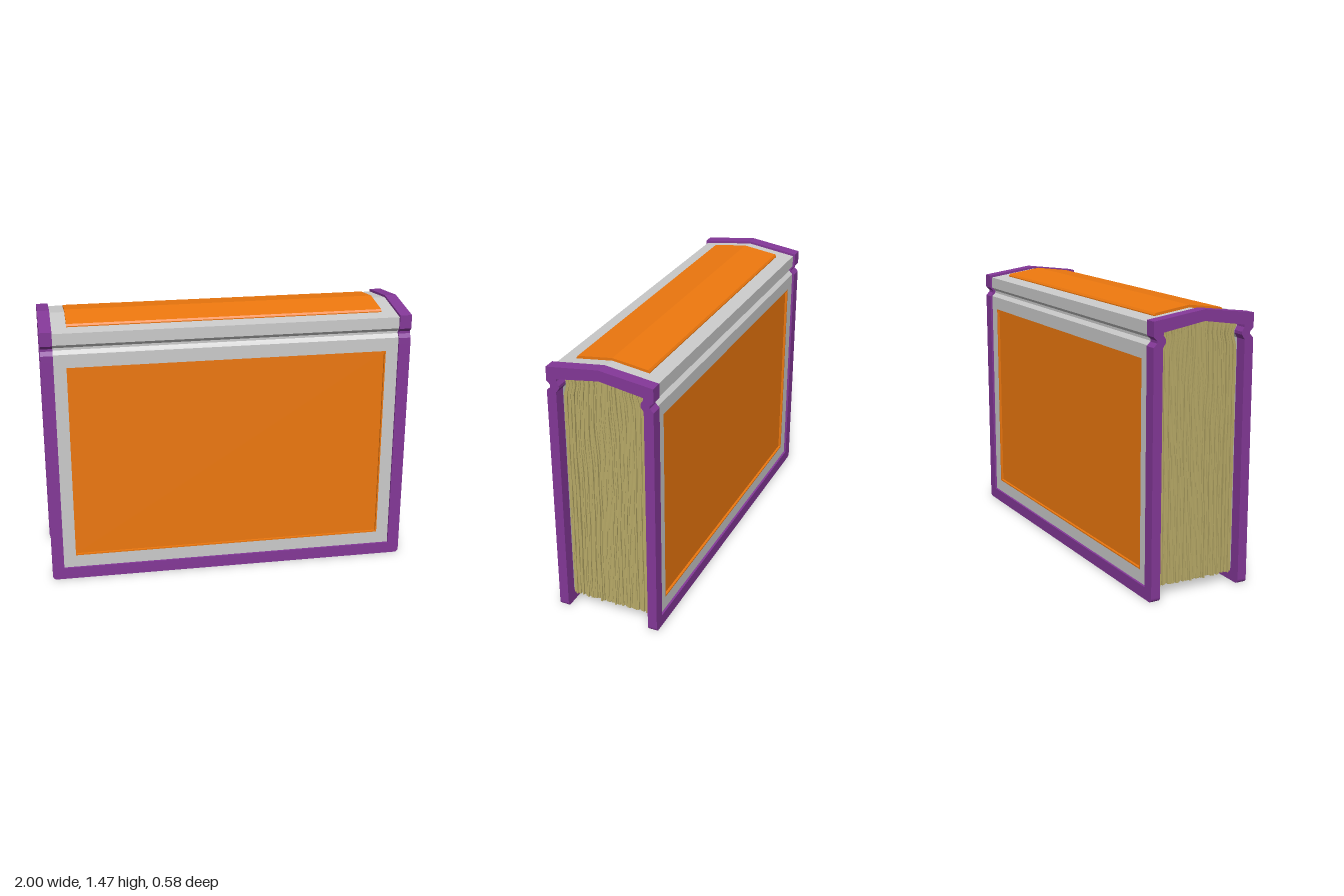
import * as THREE from 'three';
import { mergeGeometries } from 'three/addons/utils/BufferGeometryUtils.js';

const mat = (color) => new THREE.MeshStandardMaterial({ color });
const SPLIT = 1.27; // height where the flat boards meet the spine section

// Cross-section in (z, y), mirrored about z = 0, extruded along x
function extrudeAlongX(points, length, x = 0) {
  const geo = new THREE.ExtrudeGeometry(new THREE.Shape(points), { depth: length, bevelEnabled: false });
  return geo.translate(0, 0, -length / 2).rotateY(Math.PI / 2).translate(x, 0, 0);
}

// Closed arch-shaped outline of the spine and its hinge grooves
function spineOutline(inset) {
  const half = [
    [0.29 - inset, SPLIT], [0.29 - inset, 1.305], [0.27 - inset, 1.325],
    [0.27 - inset, 1.338], [0.29 - inset, 1.357], [0.29 - inset, 1.432 - inset],
  ];
  const inner = [[0.235, 1.375], [0.235, 1.362], [0.221, 1.34], [0.221, 1.325], [0.238, 1.3], [0.238, SPLIT]];
  const pts = [
    ...half, [0, 1.47 - inset], ...half.slice().reverse().map(([z, y]) => [-z, y]),
    ...inner.slice().reverse().map(([z, y]) => [-z, y]), [0, 1.412], ...inner,
  ];
  return pts.map(([z, y]) => new THREE.Vector2(z, y));
}

function rectangle(Type, w, y0, y1) {
  return new Type([[-w, y0], [w, y0], [w, y1], [-w, y1]].map(([x, y]) => new THREE.Vector2(x, y)));
}

function slab(shape, z0, z1) {
  return new THREE.ExtrudeGeometry(shape, { depth: z1 - z0, bevelEnabled: false }).translate(0, 0, z0);
}

export function createModel() {
  const model = new THREE.Group();
  const purple = mat(0x843898), grey = mat(0xcccccc), orange = mat(0xee780e), paper = mat(0xb9ab68);
  const add = (parent, name, geo, material) => {
    const mesh = new THREE.Mesh(geo, material);
    mesh.name = name;
    parent.add(mesh);
    return mesh;
  };

  // Boards: purple U-shaped border, grey frame, sunken orange panel
  const border = new THREE.Shape();
  const r = 0.025;
  border.moveTo(-1, SPLIT);
  border.lineTo(-1, r);
  border.quadraticCurveTo(-1, 0, -1 + r, 0);
  border.lineTo(1 - r, 0);
  border.quadraticCurveTo(1, 0, 1, r);
  [[1, SPLIT], [0.935, SPLIT], [0.935, 0.065], [-0.935, 0.065], [-0.935, SPLIT]].forEach(([x, y]) => border.lineTo(x, y));

  const frame = rectangle(THREE.Shape, 0.935, 0.065, SPLIT);
  frame.holes.push(rectangle(THREE.Path, 0.867, 0.135, 1.232));
  const rim = rectangle(THREE.Shape, 0.867, 0.135, 1.232);
  rim.holes.push(rectangle(THREE.Path, 0.86, 0.142, 1.225));
  const floor = rectangle(THREE.Shape, 0.86, 0.142, 1.225);

  for (const [name, turn] of [['frontCover', 0], ['backCover', Math.PI]]) {
    const cover = new THREE.Group();
    cover.name = name;
    cover.rotation.y = turn;
    add(cover, 'coverBorder', slab(border, 0.238, 0.29), purple);
    add(cover, 'coverFrame', slab(frame, 0.238, 0.278), grey);
    add(cover, 'panelRim', slab(rim, 0.238, 0.278), orange);
    add(cover, 'coverPanel', slab(floor, 0.238, 0.265), orange);
    model.add(cover);
  }

  // Spine: grey middle, purple end bands, raised orange plate
  add(model, 'spine', extrudeAlongX(spineOutline(0.012), 1.87), grey);
  for (const s of [-1, 1]) add(model, 'spineBand', extrudeAlongX(spineOutline(0), 0.065, s * 0.9675), purple);
  const plate = [[0.2, 1.425], [0.2, 1.436], [0.192, 1.446], [0, 1.472], [-0.192, 1.446], [-0.2, 1.436], [-0.2, 1.425], [0, 1.45]];
  add(model, 'spinePlate', extrudeAlongX(plate.map(([z, y]) => new THREE.Vector2(z, y)), 1.71), orange);

  // Pages: slightly wavy sheets of uneven size
  let seed = 7;
  const rand = () => (seed = (seed * 16807) % 2147483647) / 2147483647;
  const sheets = [];
  const count = 46, pitch = 0.474 / count;
  for (let i = 0; i < count; i++) {
    const zc = -0.237 + (i + 0.5) * pitch;
    const bottom = 0.045 + 0.012 * rand();
    const top = 1.41 - 0.16 * Math.abs(zc);
    const halfWidth = 0.926 + 0.012 * rand();
    const geo = new THREE.BoxGeometry(2 * halfWidth, top - bottom, pitch * (0.82 + 0.18 * rand()), 1, 24, 1);
    geo.translate(0, (top + bottom) / 2, zc);
    const p = geo.attributes.position;
    const fade = 1 - (zc / 0.237) ** 2;
    for (let k = 0; k < p.count; k++) {
      const y = p.getY(k);
      const wave = 0.008 * Math.sin(y * 6 + zc * 9) + 0.003 * Math.sin(y * 17 + zc * 25);
      const pinch = y > 1.3 && y < 1.365 ? 0.93 : 1;
      p.setZ(k, (p.getZ(k) + wave * fade * Math.min(1, y * 1.5)) * pinch);
      p.setX(k, p.getX(k) * (1 + 0.002 * Math.sin(y * 23 + i * 2.4)));
    }
    geo.computeVertexNormals();
    sheets.push(geo);
  }
  // Solid core closes the gaps between sheets
  const core = [[-0.22, 0.062], [0.22, 0.062], [0.22, 1.37], [0, 1.405], [-0.22, 1.37]];
  add(model, 'pages', mergeGeometries(sheets), paper);
  add(model, 'pageCore', extrudeAlongX(core.map(([z, y]) => new THREE.Vector2(z, y)), 1.84), paper);

  return model;
}
